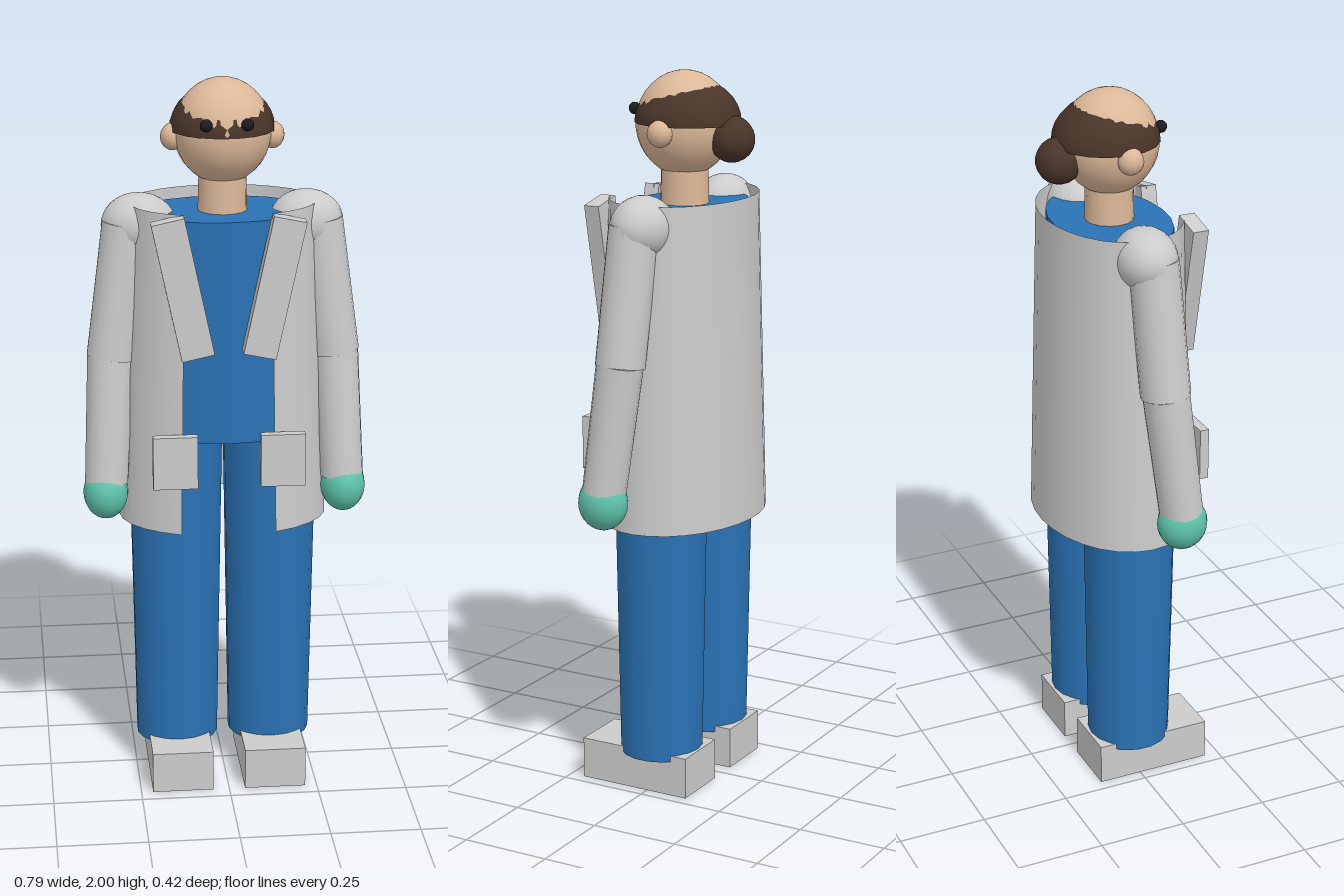
import * as THREE from 'three';

export function createModel() {
  const model = new THREE.Group();
  const mat = (color) => new THREE.MeshStandardMaterial({ color });
  const grey = mat(0xcccccc);
  const skin = mat(0xdcb899);
  const hairMat = mat(0x4a3529);
  const blue = mat(0x2a72b5);
  const teal = mat(0x5fc4ab);
  const dark = mat(0x1c1c20);
  const cloth = mat(0xcccccc);
  cloth.side = hairMat.side = THREE.DoubleSide;

  function add(name, geometry, material, pos) {
    const mesh = new THREE.Mesh(geometry, material);
    mesh.name = name;
    mesh.position.set(...pos);
    model.add(mesh);
    return mesh;
  }
  const ball = (name, material, pos, radii, seg = 20) =>
    add(name, new THREE.SphereGeometry(1, seg, Math.round(seg * 0.7)).scale(...radii), material, pos);
  const box = (name, size, pos) => add(name, new THREE.BoxGeometry(...size), grey, pos);

  // Tapered cylinder between two points
  function limb(name, material, from, to, rFrom, rTo) {
    const a = new THREE.Vector3(...from), b = new THREE.Vector3(...to);
    const dir = b.clone().sub(a);
    const geo = new THREE.CylinderGeometry(rTo, rFrom, dir.length(), 18);
    const mesh = add(name, geo, material, a.add(b).multiplyScalar(0.5).toArray());
    mesh.quaternion.setFromUnitVectors(new THREE.Vector3(0, 1, 0), dir.normalize());
    return mesh;
  }

  // Head, neck and hair
  ball('head', skin, [0, 1.857, 0], [0.132, 0.143, 0.134], 24);
  add('neck', new THREE.CylinderGeometry(0.065, 0.068, 0.13, 16), skin, [0, 1.67, 0]);
  const hairGeo = new THREE.SphereGeometry(1, 18, 8, 0, Math.PI * 2, 0, Math.PI / 2);
  add('hair', hairGeo.scale(0.143, 0.122, 0.146), hairMat, [0, 1.86, -0.01]);
  ball('hairBun', hairMat, [0, 1.822, -0.145], [0.063, 0.063, 0.063], 16);

  // Shirt body
  const torso = new THREE.CylinderGeometry(1, 1, 0.62, 20).scale(0.237, 1, 0.156);
  add('torso', torso, blue, [0, 1.33, 0]);

  // Open coat, flaring to the hem, with a gap at the front
  const gap = 0.465;
  const coat = new THREE.CylinderGeometry(0.89, 1, 0.895, 24, 1, true, gap, Math.PI * 2 - gap * 2);
  add('coat', coat.scale(0.29, 1, 0.208), cloth, [0, 1.2175, 0]);

  for (const s of [1, -1]) {
    const side = s > 0 ? 'left' : 'right';

    // Face details
    ball(side + 'Ear', skin, [s * 0.135, 1.842, 0], [0.033, 0.037, 0.036], 12);
    ball(side + 'Eye', dark, [s * 0.055, 1.895, 0.124], [0.017, 0.017, 0.017], 10);

    // Coat lapel and pocket
    const lapel = box(side + 'Lapel', [0.09, 0.385, 0.045], [s * 0.123, 1.466, 0.172]);
    lapel.rotation.z = -s * 0.21;
    box(side + 'Pocket', [0.122, 0.148, 0.026], [s * 0.147, 0.985, 0.193]);

    // Sleeved arm and gloved hand
    ball(side + 'Shoulder', grey, [s * 0.228, 1.605, 0], [0.102, 0.085, 0.084]);
    limb(side + 'UpperSleeve', grey, [s * 0.26, 1.61, 0.008], [s * 0.308, 1.24, 0.024], 0.068, 0.068);
    limb(side + 'LowerSleeve', grey, [s * 0.31, 1.245, 0.024], [s * 0.328, 0.89, 0.065], 0.064, 0.06);
    ball(side + 'Glove', teal, [s * 0.331, 0.862, 0.067], [0.062, 0.076, 0.07]);

    // Trouser leg and shoe
    limb(side + 'Leg', blue, [s * 0.132, 0.1, 0], [s * 0.132, 1.02, 0], 0.116, 0.131);
    box(side + 'Shoe', [0.172, 0.117, 0.332], [s * 0.131, 0.0585, 0.042]);
  }

  return model;
}
